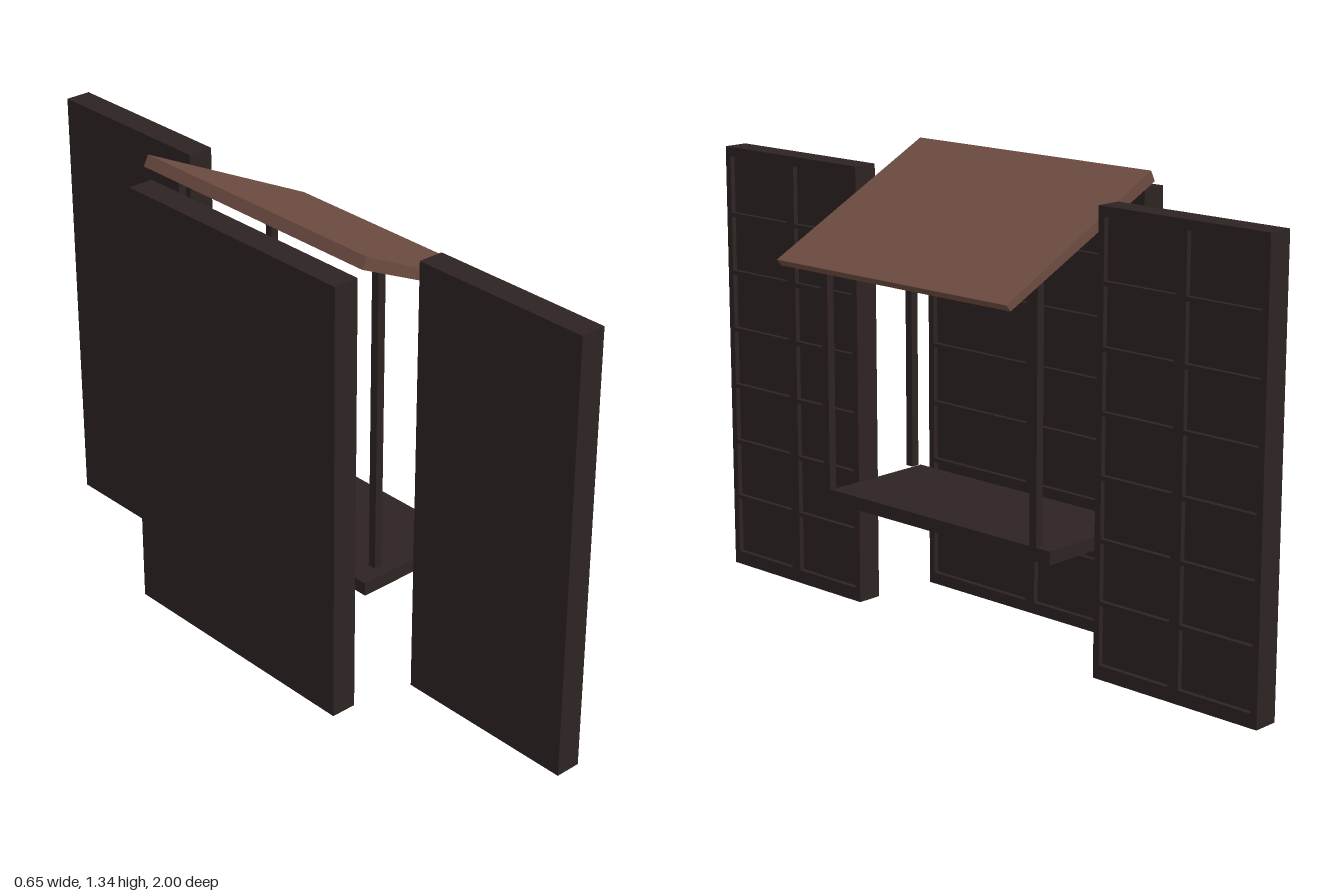
import * as THREE from 'three';

const darkWood = new THREE.MeshStandardMaterial({ color: 0x2e2323 });
darkWood.name = 'darkWood';
const roofWood = new THREE.MeshStandardMaterial({ color: 0x6d4c41 });
roofWood.name = 'roofWood';

const THICK = 0.076, RECESS = 0.015;

function box(name, x0, x1, y0, y1, z0, z1, material = darkWood) {
  const mesh = new THREE.Mesh(new THREE.BoxGeometry(x1 - x0, y1 - y0, z1 - z0), material);
  mesh.position.set((x0 + x1) / 2, (y0 + y1) / 2, (z0 + z1) / 2);
  mesh.name = name;
  return mesh;
}

function polygon(Type, points) {
  return new Type(points.map(([x, y]) => new THREE.Vector2(x, y)));
}

function rect(Type, x0, x1, y0, y1) {
  return polygon(Type, [[x0, y0], [x1, y0], [x1, y1], [x0, y1]]);
}

// Lattice panel: plain slab behind, with a two by seven grid frame facing +x
function latticePanel(name, x0, y0, y1, z0, z1) {
  const panel = new THREE.Group();
  panel.name = name;
  panel.add(box('panelBacking', x0, x0 + THICK - RECESS, y0, y1, z0, z1));

  const half = (z1 - z0) / 2, rows = 7, bottom = 0.04, top = 1.255, bar = 0.012;
  const outline = rect(THREE.Shape, -half, half, y0, y1);
  const step = (top - bottom) / rows;
  for (let r = 0; r < rows; r++) {
    const low = bottom + r * step + (r ? bar / 2 : 0);
    const high = bottom + (r + 1) * step - (r < rows - 1 ? bar / 2 : 0);
    for (const [a, b] of [[-half + 0.02, -0.017], [0.017, half - 0.02]]) {
      outline.holes.push(rect(THREE.Path, a, b, low, high));
    }
  }
  const frame = new THREE.Mesh(
    new THREE.ExtrudeGeometry(outline, { depth: RECESS, bevelEnabled: false }), darkWood);
  frame.rotation.y = Math.PI / 2;
  frame.position.set(x0 + THICK - RECESS, 0, (z0 + z1) / 2);
  frame.name = 'panelFrame';
  panel.add(frame);
  return panel;
}

export function createModel() {
  const model = new THREE.Group();
  model.name = 'stall';

  // Three standing panels
  model.add(latticePanel('frontSidePanel', -0.066, 0, 1.283, 0.45, 1));
  model.add(latticePanel('backSidePanel', -0.066, 0, 1.283, -1, -0.45));
  model.add(latticePanel('rearPanel', -0.327, 0.006, 1.286, -0.385, 0.422));

  // Counter board
  model.add(box('counter', -0.213, 0.148, 0.34, 0.378, -0.415, 0.42));

  // Four thin posts under the roof
  for (const z of [-0.404, 0.38]) {
    model.add(box('rearPost', -0.163, -0.139, 0.395, 1.265, z, z + 0.024));
    model.add(box('frontPost', 0.165, 0.189, 0.395, 1.113, z, z + 0.024));
  }

  // Sloping roof slab, slightly thinner at its low edge
  const slope = polygon(THREE.Shape,
    [[-0.247, 1.311], [0.31, 1.048], [0.325, 1.066], [-0.231, 1.341]]);
  const roof = new THREE.Mesh(
    new THREE.ExtrudeGeometry(slope, { depth: 0.855, bevelEnabled: false }), roofWood);
  roof.position.z = -0.422;
  roof.name = 'roof';
  model.add(roof);

  return model;
}
